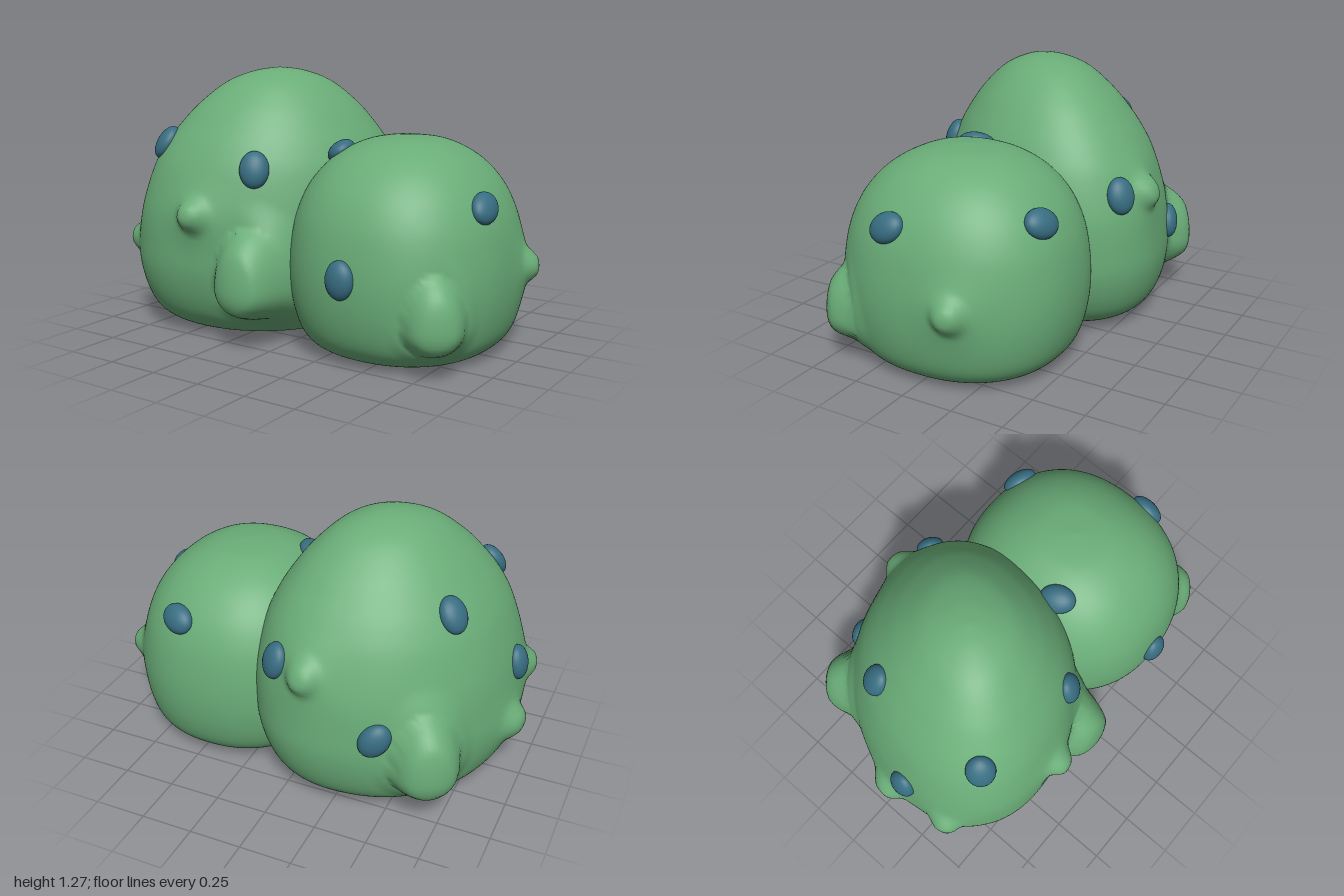
import * as THREE from 'three';
import { mergeVertices } from 'three/addons/utils/BufferGeometryUtils.js';

const skin = new THREE.MeshStandardMaterial({ color: 0x6aad78 });
skin.name = 'green skin';
const spotBlue = new THREE.MeshStandardMaterial({ color: 0x376d81 });
spotBlue.name = 'blue spot';

const V = (a) => new THREE.Vector3(...a);

// Pulls the surface out along an axis until it reaches the tip of the bump
function pullBump(pos, centre, { tip, dir, r, foot }) {
  const t = V(tip), n = V(dir).normalize(), v = new THREE.Vector3();
  const reach = [], dist = [];
  for (let i = 0; i < pos.count; i++) {
    v.fromBufferAttribute(pos, i);
    const inFront = v.clone().sub(centre).dot(n) > 0.1;
    v.sub(t);
    reach[i] = -v.dot(n);
    v.addScaledVector(n, reach[i]);
    // feet are blunt below and fade out upwards
    if (foot) v.y *= v.y < 0 ? 1.1 : 0.62;
    dist[i] = inFront ? v.length() / r : Infinity;
  }
  let near = 0;
  dist.forEach((x, i) => { if (x < dist[near]) near = i; });
  dist.forEach((x, i) => {
    if (x > 4) return;
    let move;
    if (foot) {
      // a rounded dome blended into the body round its rim
      const dome = reach[i] - 0.75 * r * (1 - Math.sqrt(1 - Math.min(x, 1) ** 2));
      move = Math.max(0, dome) * (1 - THREE.MathUtils.smoothstep(x, 0.6, 1.5));
    } else {
      // a small knob on a wider base
      move = Math.max(0.02, reach[near]) * (0.65 * Math.exp(-(x ** 4)) + 0.35 * Math.exp(-x * x / 3));
    }
    v.fromBufferAttribute(pos, i).addScaledVector(n, move);
    pos.setXYZ(i, v.x, v.y, v.z);
  });
}

// Rounded mound: a smooth profile swept round a squarish, skewed oval, then bumped
function mound({ centre, rx, rz, skew, lean, power, profile, bumps }) {
  const curve = new THREE.SplineCurve(profile.map(([r, y]) => new THREE.Vector2(r, y)));
  const points = curve.getSpacedPoints(120);
  points.forEach((p) => { p.x = Math.max(0, p.x); });
  let geo = new THREE.LatheGeometry(points, 190);
  geo.deleteAttribute('uv');
  geo.deleteAttribute('normal');
  geo = mergeVertices(geo, 1e-5);
  const pos = geo.attributes.position;
  for (let i = 0; i < pos.count; i++) {
    const x = pos.getX(i), y = pos.getY(i), z = pos.getZ(i);
    const r = Math.hypot(x, z) || 1;
    const c = x / r, s = z / r;
    const k = r / (Math.pow(Math.abs(c) ** power + Math.abs(s) ** power, 1 / power) || 1);
    pos.setXYZ(i,
      centre[0] + lean[0] * y + (rx * c - skew * s) * k, y,
      centre[1] + lean[1] * y + (rz * s - skew * c) * k);
  }
  const mid = new THREE.Vector3(centre[0], 0.4, centre[1]);
  bumps.forEach((b) => pullBump(pos, mid, b));
  geo.computeVertexNormals();
  return new THREE.Mesh(geo, skin);
}

// Flattened domes set on the surface: x, y, z and a roll about the surface normal
const spotGeo = new THREE.SphereGeometry(1, 24, 16);
function addSpots(group, body, centre, places) {
  const mid = new THREE.Vector3(centre[0], 0.45, centre[1]);
  const ray = new THREE.Raycaster();
  body.updateMatrixWorld(true);
  for (const [x, y, z, roll] of places) {
    const out = new THREE.Vector3(x, y, z).sub(mid).normalize();
    ray.set(mid.clone().addScaledVector(out, 3), out.clone().negate());
    const hit = ray.intersectObject(body)[0];
    if (!hit) continue;
    const spot = new THREE.Mesh(spotGeo, spotBlue);
    spot.name = 'spot';
    spot.position.copy(hit.point);
    spot.lookAt(hit.point.clone().add(hit.face.normal));
    spot.rotateZ(roll);
    spot.scale.set(0.069, 0.087, 0.047);
    group.add(spot);
  }
}

function creature(name, spec, spots) {
  const group = new THREE.Group();
  group.name = name;
  const body = mound(spec);
  body.name = name + ' body';
  group.add(body);
  addSpots(group, body, spec.centre, spots);
  return group;
}

export function createModel() {
  const model = new THREE.Group();
  model.name = 'spotted mounds';

  model.add(creature('large mound', {
    centre: [-0.37, -0.04], rx: 0.58, rz: 0.615, skew: 0.065, lean: [0.065, 0.04], power: 2.2,
    profile: [[0, 0.025], [0.3, 0.018], [0.58, 0.005], [0.73, 0.03], [0.86, 0.09], [0.94, 0.18], [0.99, 0.3],
      [1, 0.42], [0.98, 0.6], [0.9, 0.79], [0.81, 0.91], [0.7, 1.01], [0.57, 1.105], [0.38, 1.205],
      [0.18, 1.258], [0, 1.275]],
    bumps: [
      { tip: [-0.1, 0.29, 0.655], dir: [0.03, 0, 1], r: 0.17, foot: true },
      { tip: [-0.75, 0.29, -0.6], dir: [-0.55, 0, -0.83], r: 0.165, foot: true },
      { tip: [-0.995, 0.3, 0], dir: [-1, 0, 0], r: 0.085 },
      { tip: [-0.95, 0.42, 0.38], dir: [-0.85, 0.1, 0.5], r: 0.07 },
      { tip: [-0.36, 0.62, 0.66], dir: [0, 0.05, 1], r: 0.07 },
      { tip: [-0.13, 0.71, -0.66], dir: [0.05, 0.05, -1], r: 0.075 },
    ],
  }, [
    [-0.67, 0.9, 0.39, 0], [-0.13, 0.81, 0.42, 0], [-0.95, 0.57, 0.12, 0],
    [-0.68, 0.94, -0.22, 0], [-0.47, 0.45, -0.6, -0.6], [0.02, 0.71, -0.54, 0],
  ]));

  model.add(creature('small mound', {
    centre: [0.455, 0.015], rx: 0.515, rz: 0.56, skew: 0, lean: [-0.02, 0], power: 2.25,
    profile: [[0, 0.03], [0.4, 0.02], [0.62, 0.01], [0.78, 0.035], [0.9, 0.1], [0.97, 0.21], [1, 0.35],
      [0.985, 0.5], [0.925, 0.65], [0.8, 0.785], [0.6, 0.895], [0.33, 0.967], [0, 0.99]],
    bumps: [
      { tip: [0.87, 0.23, 0.51], dir: [0.6, 0, 0.8], r: 0.14, foot: true },
      { tip: [1.0, 0.4, -0.22], dir: [1, 0, -0.2], r: 0.07 },
    ],
  }, [
    [0.19, 0.86, 0.13, 1.75], [0.43, 0.42, 0.58, 0], [0.87, 0.7, 0.13, 2.0], [0.58, 0.73, -0.43, 1.35],
  ]));

  return model;
}
